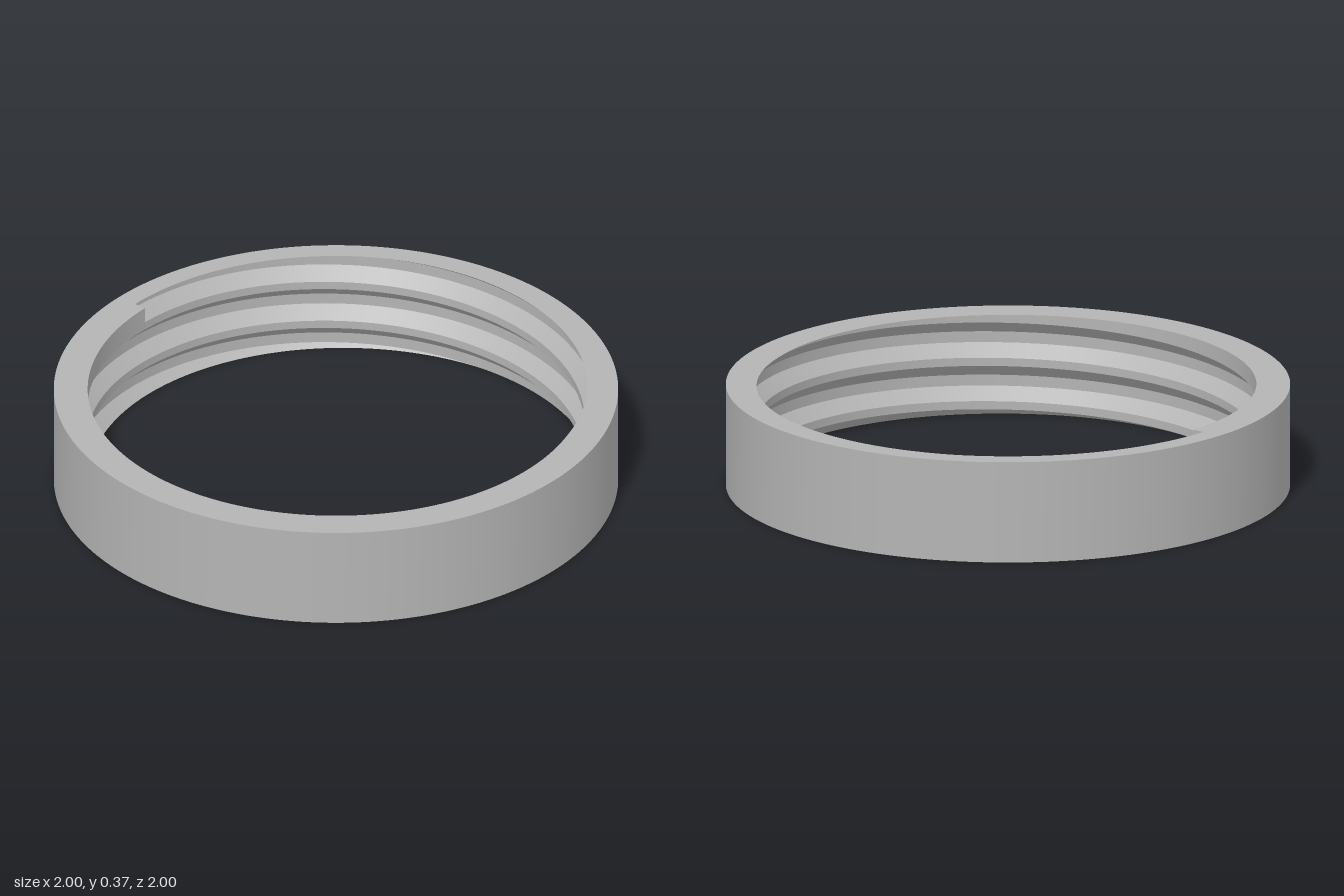
import * as THREE from 'three';
import { mergeGeometries } from 'three/addons/utils/BufferGeometryUtils.js';

const HEIGHT = 0.37, OUTER = 1, CREST = 0.88, ROOT = 0.925;
const PITCH = 0.16, FIRST_Y = 0.377;         // groove centre at the start of the thread
const ROOT_HALF = 0.02, CREST_HALF = 0.065;  // half heights of the groove at root and crest
const START = -2 * Math.PI / 3, STEPS = 240;

// Groove centres met at a fraction s (0..1) of a turn
const centres = (s) => [0, 1, 2].map((k) => FIRST_Y - PITCH * (s + k));

// Bore radius at height y
function boreRadius(y, s) {
  const d = Math.min(...centres(s).map((c) => Math.abs(y - c)));
  const t = THREE.MathUtils.clamp((CREST_HALF - d) / (CREST_HALF - ROOT_HALF), 0, 1);
  return CREST + (ROOT - CREST) * t;
}

// Closed cross-section [radius, y]: outer wall, top, threaded bore, bottom
function section(s) {
  const heights = [HEIGHT];
  for (const c of centres(s)) {
    for (const o of [CREST_HALF, ROOT_HALF, -ROOT_HALF, -CREST_HALF]) {
      heights.push(THREE.MathUtils.clamp(c + o, 0, HEIGHT));
    }
  }
  heights.push(0);
  return [[OUTER, 0], [OUTER, HEIGHT], ...heights.map((y) => [boreRadius(y, s), y]), [OUTER, 0]];
}

const place = ([r, y], angle) => [r * Math.cos(angle), y, r * Math.sin(angle)];

function makeGeometry(positions, index) {
  const g = new THREE.BufferGeometry();
  g.setAttribute('position', new THREE.Float32BufferAttribute(positions, 3));
  g.setIndex(index);
  g.computeVertexNormals();
  return g;
}

export function createModel() {
  const grey = new THREE.MeshStandardMaterial({ color: 0xb4b4b4 });
  grey.name = 'grey';
  const group = new THREE.Group();
  group.name = 'threadedRing';

  // Each side of the cross-section is its own smooth strip, so edges stay sharp
  const sections = Array.from({ length: STEPS + 1 }, (_, i) => section(i / STEPS));
  const strips = [];
  for (let j = 0; j < sections[0].length - 1; j++) {
    const positions = [], index = [];
    sections.forEach((points, i) => {
      const angle = START + (i / STEPS) * Math.PI * 2;
      positions.push(...place(points[j], angle), ...place(points[j + 1], angle));
      if (i < STEPS) {
        const a = i * 2;
        index.push(a, a + 1, a + 2, a + 1, a + 3, a + 2);
      }
    });
    strips.push(makeGeometry(positions, index));
  }
  const ring = new THREE.Mesh(mergeGeometries(strips), grey);
  ring.name = 'ringBody';
  group.add(ring);

  // Flat wall where the groove starts at the top rim
  const corners = [
    [CREST, FIRST_Y - CREST_HALF], [ROOT, FIRST_Y - ROOT_HALF], [ROOT, HEIGHT], [CREST, HEIGHT],
  ];
  const end = new THREE.Mesh(
    makeGeometry(corners.flatMap((p) => place(p, START)), [0, 1, 2, 0, 2, 3]), grey);
  end.name = 'threadEnd';
  group.add(end);

  return group;
}
